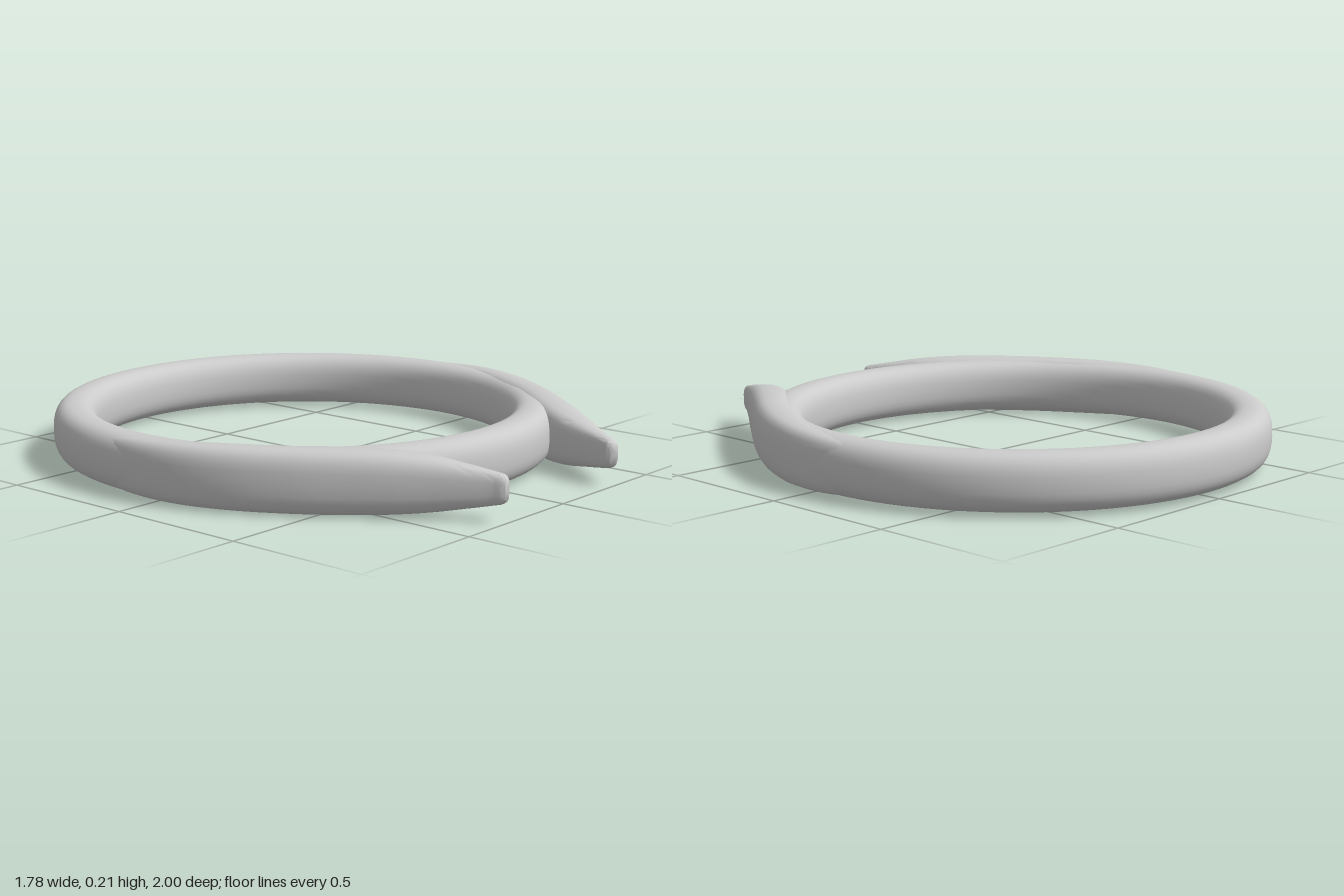
import * as THREE from 'three';
import { toCreasedNormals } from 'three/addons/utils/BufferGeometryUtils.js';

const MID_Y = 0.105;
const RING_Z = -0.112;

// Rounded-rectangle style section, unit half-width and half-height
function superPoint(angle, power) {
  const c = Math.cos(angle), s = Math.sin(angle);
  return [
    Math.sign(c) * Math.abs(c) ** (2 / power),
    Math.sign(s) * Math.abs(s) ** (2 / power),
  ];
}

function ringGeometry() {
  const profile = [];
  for (let i = 0; i <= 32; i++) {
    const [u, v] = superPoint(Math.PI + (i % 32) / 32 * Math.PI * 2, 2.6);
    profile.push(new THREE.Vector2(0.8105 + u * 0.0775, v * 0.096));
  }
  return toCreasedNormals(new THREE.LatheGeometry(profile, 96), 0.8);
}

// Arm stations: outer x, outer z, inner x, inner z, half height
const STATIONS = [
  [0.835, -0.37, 0.79, -0.36, 0.07],
  [0.886, -0.11, 0.79, -0.11, 0.092],
  [0.873, 0.08, 0.76, 0.05, 0.1],
  [0.81, 0.27, 0.69, 0.2, 0.104],
  [0.71, 0.45, 0.59, 0.37, 0.105],
  [0.605, 0.6, 0.47, 0.52, 0.105],
  [0.525, 0.71, 0.39, 0.63, 0.1],
  [0.45, 0.81, 0.335, 0.74, 0.088],
  [0.385, 0.9, 0.31, 0.84, 0.07],
  [0.34, 0.965, 0.287, 0.95, 0.053],
  [0.327, 0.99, 0.28, 0.98, 0.046],
  [0.318, 1.0, 0.287, 0.993, 0.036],
];

function armGeometry(side) {
  const outer = new THREE.CatmullRomCurve3(STATIONS.map((s) => new THREE.Vector3(s[0], s[4], s[1])));
  const inner = new THREE.CatmullRomCurve3(STATIONS.map((s) => new THREE.Vector3(s[2], s[4], s[3])));
  const rows = (STATIONS.length - 1) * 4, sides = 28;
  const positions = [], index = [];
  const face = (a, b, c) => (side > 0 ? index.push(a, b, c) : index.push(a, c, b));

  for (let i = 0; i <= rows; i++) {
    const o = outer.getPoint(i / rows), n = inner.getPoint(i / rows);
    const mid = o.clone().add(n).multiplyScalar(0.5);
    for (let j = 0; j < sides; j++) {
      const [u, v] = superPoint(j / sides * Math.PI * 2, 3);
      positions.push(
        side * (mid.x + u * (o.x - n.x) / 2),
        v * o.y,
        mid.z + u * (o.z - n.z) / 2,
      );
    }
  }
  for (let i = 0; i < rows; i++) {
    for (let j = 0; j < sides; j++) {
      const k = (j + 1) % sides;
      const a = i * sides + j, b = i * sides + k;
      face(a, b, a + sides);
      face(b, b + sides, a + sides);
    }
  }
  // End caps
  const last = rows * sides;
  for (let j = 1; j < sides - 1; j++) {
    face(0, j + 1, j);
    face(last, last + j, last + j + 1);
  }
  const geometry = new THREE.BufferGeometry();
  geometry.setAttribute('position', new THREE.Float32BufferAttribute(positions, 3));
  geometry.setIndex(index);
  return toCreasedNormals(geometry, 0.8);
}

export function createModel() {
  const group = new THREE.Group();
  group.name = 'ringWithProngs';
  const material = new THREE.MeshStandardMaterial({ color: 0xcccccc });

  // Round band
  const band = new THREE.Mesh(ringGeometry(), material);
  band.name = 'band';
  band.position.set(0, MID_Y, RING_Z);
  group.add(band);

  // Two arms leaving the band tangentially and tapering to the tips
  for (const [name, side] of [['leftArm', 1], ['rightArm', -1]]) {
    const arm = new THREE.Mesh(armGeometry(side), material);
    arm.name = name;
    arm.position.y = MID_Y;
    group.add(arm);
  }
  return group;
}
